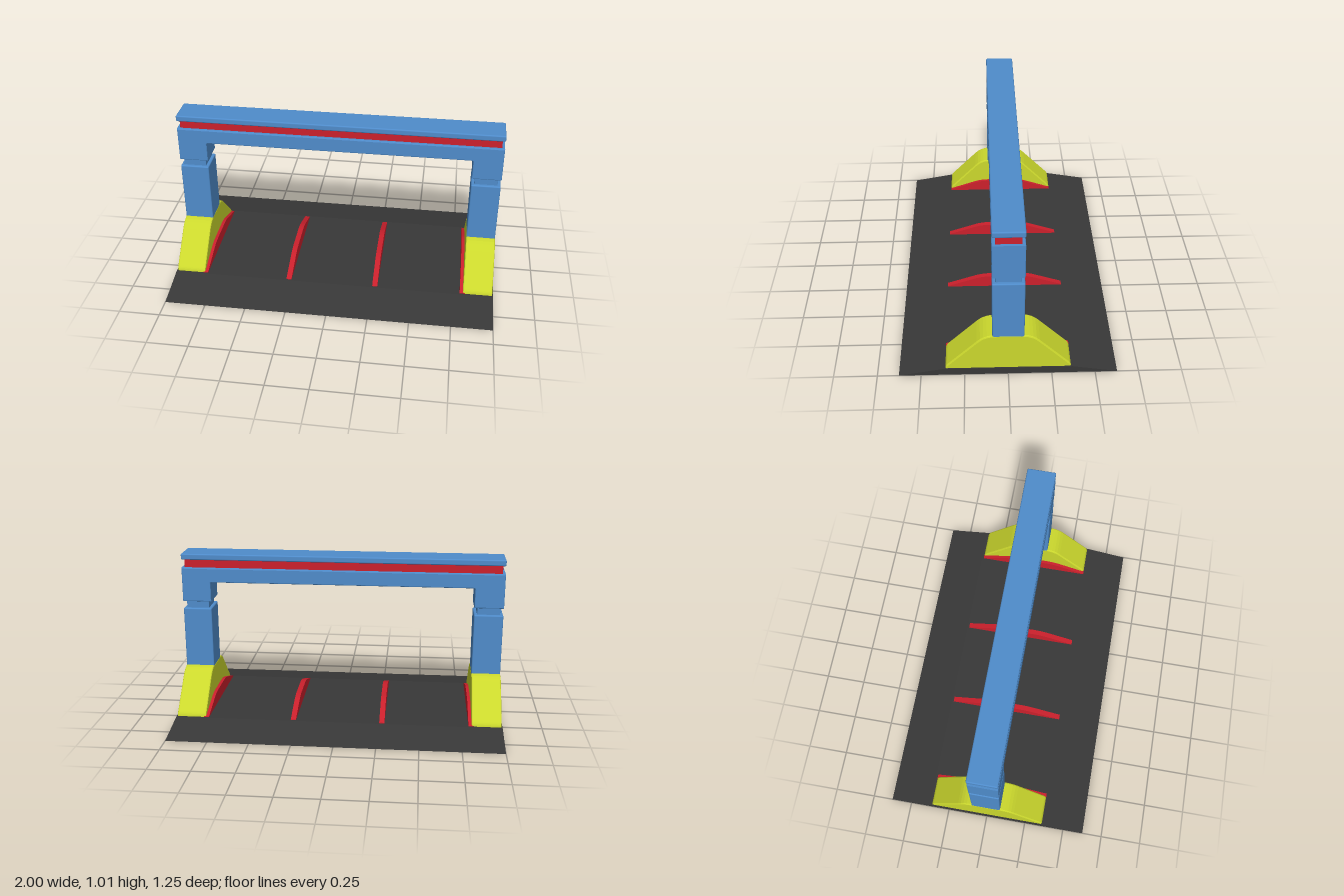
import * as THREE from 'three';
import { RoundedBoxGeometry } from 'three/addons/geometries/RoundedBoxGeometry.js';

const material = (color) => new THREE.MeshStandardMaterial({ color });

// Closed outline; points are [x, y, cornerRadius]
function outline(points) {
  const shape = new THREE.Shape();
  const n = points.length;
  const toward = (a, b, r) => {
    const d = Math.hypot(b[0] - a[0], b[1] - a[1]);
    return [a[0] + ((b[0] - a[0]) * r) / d, a[1] + ((b[1] - a[1]) * r) / d];
  };
  points.forEach((p, i) => {
    const r = p[2] || 0;
    const start = toward(p, points[(i + n - 1) % n], r);
    if (i === 0) shape.moveTo(...start);
    else shape.lineTo(...start);
    if (r) shape.quadraticCurveTo(p[0], p[1], ...toward(p, points[(i + 1) % n], r));
  });
  shape.closePath();
  return shape;
}

// Extrusion centred on its depth, with an optional inward bevel
function slab(points, depth, bevel = 0) {
  const geometry = new THREE.ExtrudeGeometry(outline(points), {
    depth: depth - 2 * bevel, curveSegments: 5,
    bevelEnabled: bevel > 0, bevelSize: bevel, bevelThickness: bevel,
    bevelOffset: -bevel, bevelSegments: 2,
  });
  return geometry.translate(0, 0, -depth / 2 + bevel);
}

// Symmetric profile given for its right half, mirrored and run along x
function ridge(half, depth, bevel) {
  const mirrored = half.map(([x, y, r]) => [-x, y, r]).reverse();
  return slab([...half, ...mirrored], depth, bevel).rotateY(Math.PI / 2);
}

export function createModel() {
  const group = new THREE.Group();
  const blue = material(0x4f8ccb);
  const red = material(0xcc202c);
  const yellow = material(0xcbd82d);
  const dark = material(0x383838);

  const add = (name, geometry, mat, x = 0, y = 0, z = 0) => {
    const mesh = new THREE.Mesh(geometry, mat);
    mesh.name = name;
    mesh.position.set(x, y, z);
    group.add(mesh);
  };
  const box = (name, w, y0, y1, d, mat, x = 0, radius = 0.008) =>
    add(name, new RoundedBoxGeometry(w, y1 - y0, d, 2, radius), mat, x, (y0 + y1) / 2);

  // Ground plate with sloping front and back
  add('basePlate', ridge([[0.627, 0], [0.37, 0.046]], 2), dark);

  // Low dividers across the plate
  for (const x of [-0.812, -0.273, 0.27, 0.812]) {
    add('divider', ridge([[0.36, 0.04], [0.36, 0.05], [0.14, 0.124, 0.05]], 0.032), red, x);
  }

  // Footings and two-piece posts
  for (const side of [-1, 1]) {
    const x = side * 0.905;
    add('footing', ridge([[0.36, 0.035], [0.36, 0.06, 0.02], [0.135, 0.29, 0.06]], 0.18, 0.008), yellow, x);
    box('post', 0.178, 0.27, 0.666, 0.18, blue, x);
    box('postNeck', 0.14, 0.65, 0.73, 0.142, blue, x, 0.003);
  }

  // Portal beam with short legs
  add('portalBeam', slab([
    [-0.995, 0.71], [-0.816, 0.71], [-0.816, 0.834, 0.012], [0.816, 0.834, 0.012],
    [0.816, 0.71], [0.995, 0.71], [0.995, 0.925], [-0.995, 0.925],
  ], 0.18, 0.006), blue);

  // Recessed stripe and top cap
  box('stripe', 1.956, 0.91, 0.985, 0.142, red, 0, 0.003);
  box('topCap', 1.99, 0.975, 1.013, 0.18, blue);

  return group;
}
